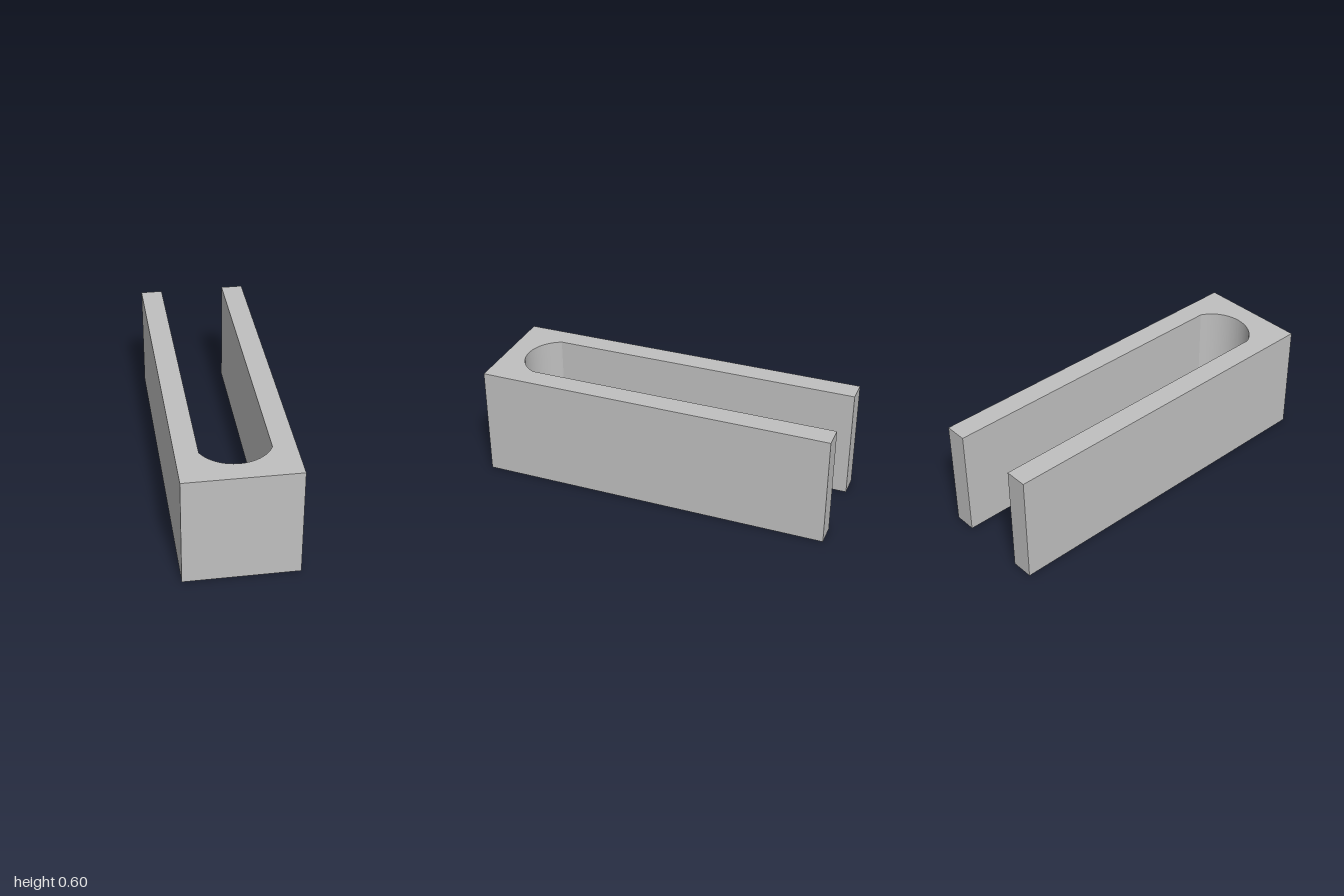
import * as THREE from 'three';
import { toCreasedNormals } from 'three/addons/utils/BufferGeometryUtils.js';

const LENGTH = 1.91, WIDTH = 0.597, HEIGHT = 0.6;
const SLOT_HALF = 0.18;    // half the gap between the arms
const ARC_START = 0.233;   // where the straight slot walls meet the arc, from the closed end
const ARC_CENTRE = 0.316;  // arc centre, from the closed end
const YAW = -0.2746;       // the block is turned about the vertical axis

export function createModel() {
  const model = new THREE.Group();
  const grey = new THREE.MeshStandardMaterial({ color: 0xbfbfbf });
  grey.name = 'plain grey';

  // Fork outline: closed end at the front, two arms reaching back
  const w = WIDTH / 2, l = LENGTH / 2, s = SLOT_HALF;
  const offset = ARC_CENTRE - ARC_START;
  const radius = Math.hypot(s, offset);
  const angle = Math.atan2(offset, s);
  const outline = new THREE.Shape();
  outline.moveTo(-w, -l);
  outline.lineTo(w, -l);
  outline.lineTo(w, l);
  outline.lineTo(s, l);
  outline.lineTo(s, -l + ARC_START);
  outline.absarc(0, -l + ARC_CENTRE, radius, -angle, -Math.PI + angle, true);
  outline.lineTo(-s, l);
  outline.lineTo(-w, l);
  outline.closePath();

  // Extrude upwards, keeping the curved slot end smooth
  let geometry = new THREE.ExtrudeGeometry(outline, { depth: HEIGHT, bevelEnabled: false, curveSegments: 40 });
  geometry.rotateX(-Math.PI / 2);
  geometry = toCreasedNormals(geometry, 0.25);
  geometry.clearGroups();

  const fork = new THREE.Mesh(geometry, grey);
  fork.name = 'slottedBlock';
  fork.rotation.y = YAW;
  model.add(fork);
  return model;
}
